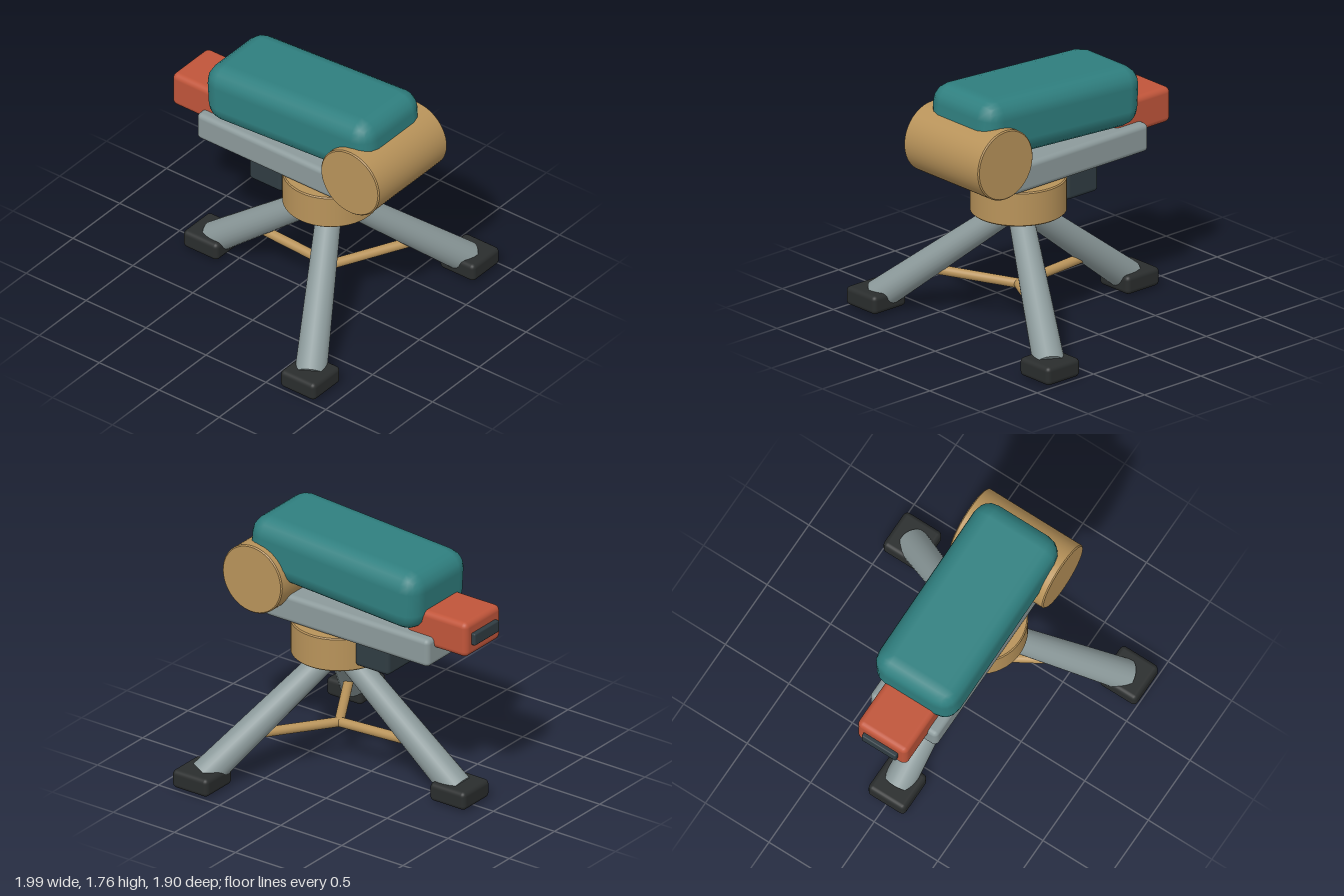
import * as THREE from 'three';
import { RoundedBoxGeometry } from 'three/addons/geometries/RoundedBoxGeometry.js';

const material = (color) => new THREE.MeshStandardMaterial({ color });
const teal = material(0x2f7f7f);
const tan = material(0xb8935a);
const grey = material(0x8c9a9b);
const black = material(0x2a2d2d);
const slate = material(0x303c42);
const red = material(0xc0553a);

const PIVOT_Z = 0.262; // axis of the tripod and turntable

export function createModel() {
  const model = new THREE.Group();
  model.name = 'tripodDevice';

  const add = (name, geometry, mat, x, y, z) => {
    const mesh = new THREE.Mesh(geometry, mat);
    mesh.name = name;
    mesh.position.set(x, y, z);
    model.add(mesh);
    return mesh;
  };

  const box = (name, mat, size, pos, radius, segments = 3) =>
    add(name, new RoundedBoxGeometry(...size, segments, radius), mat, ...pos);

  // Drum with a fine chamfer on both rims
  const drum = (radius, height, c = 0.008) => {
    const h = height / 2;
    const side = new THREE.CylinderGeometry(radius, radius, height - 2 * c, 48, 1, true);
    const profile = [[0, -h], [radius - c, -h], [radius - c, -h], [radius, c - h], [radius, c - h],
      [radius, h - c], [radius, h - c], [radius - c, h], [radius - c, h], [0, h]];
    side.dispose();
    return new THREE.LatheGeometry(profile.map(([x, y]) => new THREE.Vector2(x, y)), 48);
  };

  // Tapered rod from point a to point b
  const rod = (name, mat, a, b, ra, rb) => {
    const dir = b.clone().sub(a);
    const mid = a.clone().add(b).multiplyScalar(0.5);
    const mesh = add(name, new THREE.CylinderGeometry(rb, ra, dir.length(), 24), mat, mid.x, mid.y, mid.z);
    mesh.quaternion.setFromUnitVectors(new THREE.Vector3(0, 1, 0), dir.normalize());
    return mesh;
  };

  // Tripod: three legs, feet and braces, 120 degrees apart
  for (const [side, degrees] of [['left', 30], ['right', 150], ['back', 270]]) {
    const angle = THREE.MathUtils.degToRad(degrees);
    const at = (r, y) => new THREE.Vector3(Math.cos(angle) * r, y, PIVOT_Z + Math.sin(angle) * r);
    rod(side + 'Leg', grey, at(0.03, 0.825), at(0.965, 0.084), 0.083, 0.107);
    rod(side + 'Brace', tan, at(0, 0.285), at(0.62, 0.318), 0.033, 0.033);
    const foot = at(0.984, 0.077);
    box(side + 'Foot', black, [0.29, 0.13, 0.29], foot.toArray(), 0.032);
  }

  // Turntable and the control box behind it
  add('turntable', drum(0.32, 0.24), tan, 0, 0.93, PIVOT_Z);
  box('controlBox', slate, [0.38, 0.2, 0.28], [0, 0.95, -0.14], 0.03);

  // Cradle rail
  box('cradle', grey, [0.53, 0.2, 1.35], [0, 1.15, 0.015], 0.035);

  // Front cross drum, lying along x
  add('frontDrum', drum(0.243, 0.734), tan, 0, 1.345, 0.705).rotation.z = Math.PI / 2;

  // Main housing, tilted up at the front
  box('housing', teal, [0.636, 0.42, 1.39], [0, 1.515, 0.113], 0.13, 2).rotation.x = -0.06;

  // Rear unit and its dark window
  box('rearUnit', red, [0.39, 0.25, 0.49], [0, 1.295, -0.675], 0.04);
  box('rearWindow', slate, [0.27, 0.085, 0.06], [0, 1.293, -0.92], 0.01);

  return model;
}
